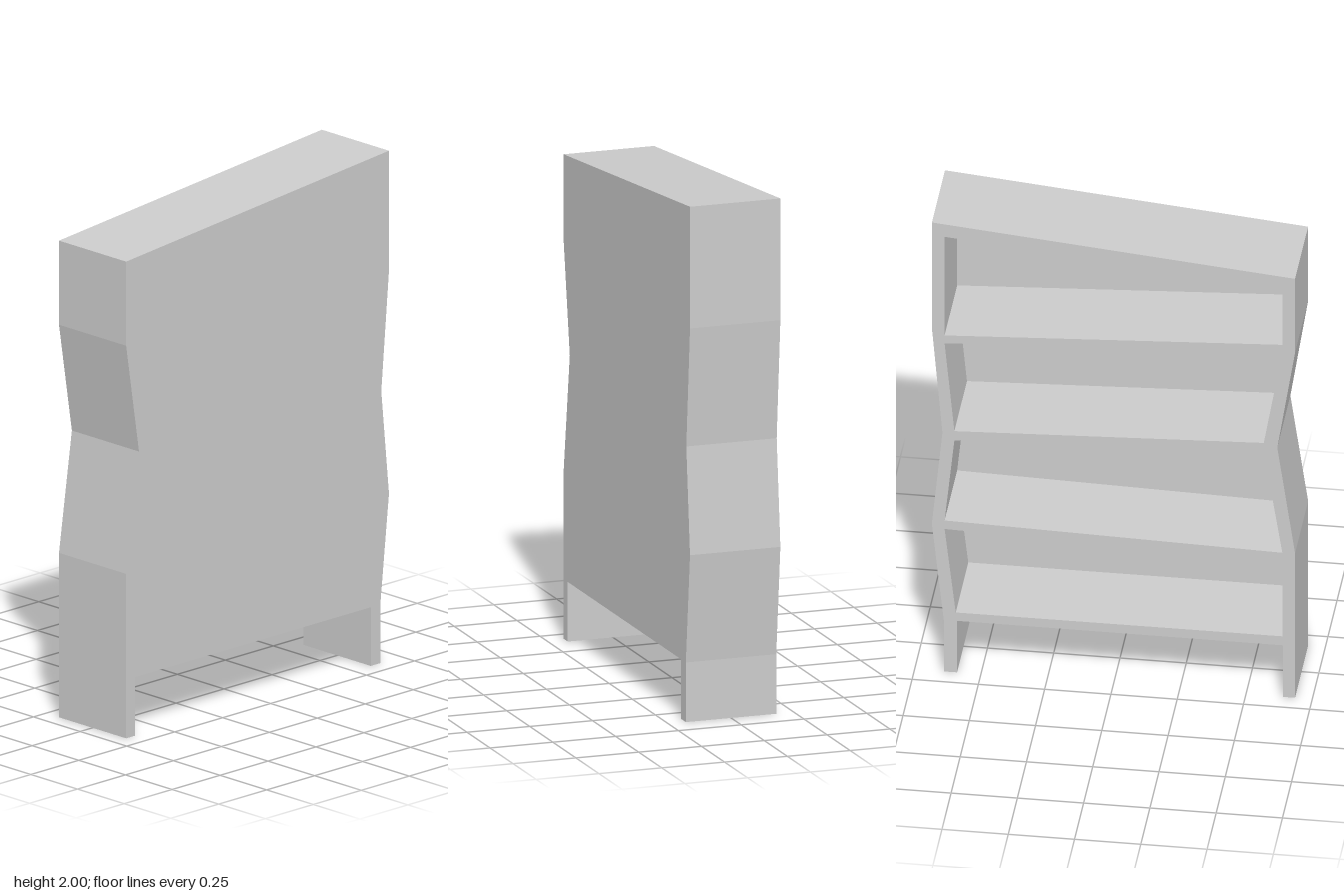
import * as THREE from 'three';

const HALF_DEPTH = 0.18;
const PANEL = 0.015;

// Wavy cabinet silhouette, counter-clockwise from the outer foot on the -x side
const OUTLINE = [
  [-0.685, 0], [-0.64, 0], [-0.64, 0.23], [0.59, 0.23], [0.59, 0], [0.64, 0],
  [0.64, 0.23], [0.685, 0.655], [0.645, 1.065], [0.685, 1.53], [0.685, 2],
  [-0.685, 1.87], [-0.685, 1.54], [-0.618, 1.11], [-0.685, 0.645],
];

// Compartments between the tilted shelves: bottom -x, bottom +x, top +x, top -x
const OPENINGS = [
  [[-0.637, 0.27], [0.595, 0.267], [0.637, 0.636], [-0.637, 0.602]],
  [[-0.637, 0.643], [0.637, 0.674], [0.6, 1.035], [-0.567, 1.09]],
  [[-0.567, 1.127], [0.6, 1.076], [0.637, 1.465], [-0.637, 1.536]],
  [[-0.637, 1.571], [0.637, 1.5], [0.637, 1.94], [-0.637, 1.825]],
];

const toPoints = (list) => list.map(([x, y]) => new THREE.Vector2(x, y));

// Extrude the silhouette between two depths, optionally cut by openings
function slab(name, z0, z1, openings = []) {
  const shape = new THREE.Shape(toPoints(OUTLINE));
  for (const o of openings) shape.holes.push(new THREE.Path(toPoints(o)));
  const geometry = new THREE.ExtrudeGeometry(shape, { depth: z1 - z0, bevelEnabled: false });
  geometry.translate(0, 0, z0);
  const mesh = new THREE.Mesh(geometry, new THREE.MeshStandardMaterial({ color: 0xcccccc }));
  mesh.name = name;
  return mesh;
}

export function createModel() {
  const model = new THREE.Group();
  model.name = 'wavyBookcase';
  // Side walls, feet, top and shelves, open towards -z
  model.add(slab('shelfFrame', -HALF_DEPTH, HALF_DEPTH - PANEL, OPENINGS));
  // Thin board closing the +z side
  model.add(slab('closingPanel', HALF_DEPTH - PANEL, HALF_DEPTH));
  return model;
}
